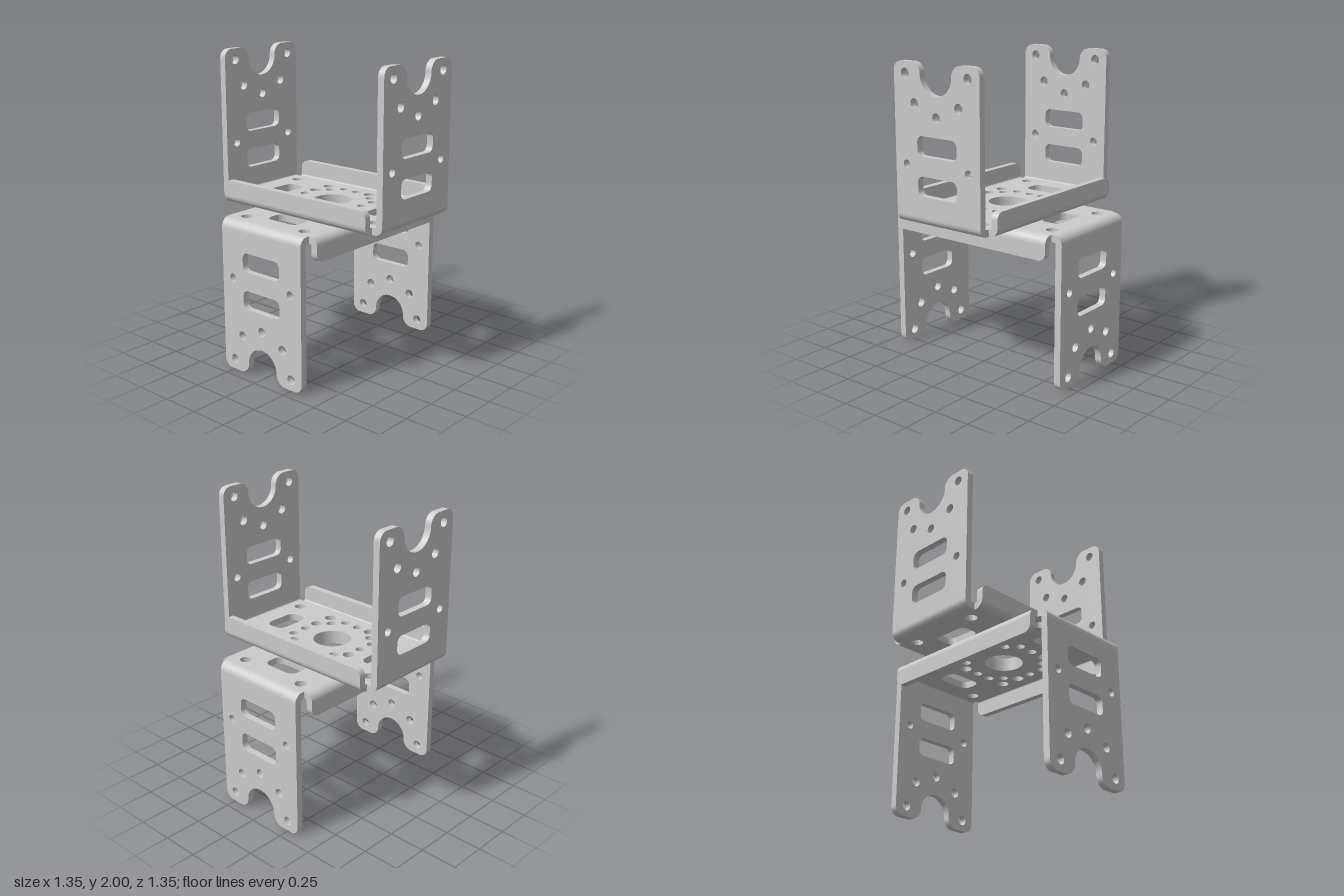
import * as THREE from 'three';
import { toCreasedNormals } from 'three/addons/utils/BufferGeometryUtils.js';

const T = 0.045;   // sheet thickness
const R = 0.055;   // outer bend radius
const H = 1;       // bracket height
const END = 0.675; // distance of the tall wall's outer face
const WALL_W = 0.335;
const SIDE = 0.4;  // distance of the side lip's outer face
const LIP_W = 0.6;
const SIGNS = [-1, 1];

const material = new THREE.MeshStandardMaterial({ color: 0xcccccc });

function hole(shape, x, y, r) {
  shape.holes.push(new THREE.Path().absarc(x, y, r, 0, Math.PI * 2, true));
}

function slot(shape, cx, cy, w, h, r) {
  const p = new THREE.Path();
  const x = w / 2 - r, y = h / 2 - r;
  p.absarc(cx + x, cy + y, r, 0, Math.PI / 2);
  p.absarc(cx - x, cy + y, r, Math.PI / 2, Math.PI);
  p.absarc(cx - x, cy - y, r, Math.PI, Math.PI * 1.5);
  p.absarc(cx + x, cy - y, r, Math.PI * 1.5, Math.PI * 2);
  p.closePath();
  shape.holes.push(p);
}

function extrude(shape, depth) {
  return new THREE.ExtrudeGeometry(shape, { depth, bevelEnabled: false, curveSegments: 16 });
}

function mesh(name, geometry) {
  const m = new THREE.Mesh(toCreasedNormals(geometry, 0.6), material);
  m.name = name;
  return m;
}

// Flat plate with its bolt pattern
function basePlate() {
  const a = SIDE - R, b = END - R;
  const s = new THREE.Shape([
    [-WALL_W, -b], [WALL_W, -b], [WALL_W, -LIP_W], [a, -LIP_W], [a, LIP_W], [WALL_W, LIP_W],
    [WALL_W, b], [-WALL_W, b], [-WALL_W, LIP_W], [-a, LIP_W], [-a, -LIP_W], [-WALL_W, -LIP_W],
  ].map(([x, y]) => new THREE.Vector2(x, y)));
  hole(s, 0, 0, 0.123);
  for (const i of SIGNS) {
    slot(s, 0, i * 0.425, 0.25, 0.14, 0.05);
    hole(s, 0, i * 0.246, 0.03);
    hole(s, i * 0.246, 0, 0.03);
    for (const j of SIGNS) {
      hole(s, i * 0.246, j * 0.54, 0.038);
      hole(s, i * 0.241, j * 0.243, 0.038);
      hole(s, i * 0.174, j * 0.174, 0.03);
      // alternate holes of the ring are wider
      hole(s, i * 0.108, j * 0.246, i === j ? 0.038 : 0.03);
      hole(s, i * 0.246, j * 0.108, i === j ? 0.03 : 0.038);
    }
  }
  return mesh('basePlate', extrude(s, T).rotateX(-Math.PI / 2));
}

// Tall wall with a rounded notch in its free edge
function wallShape() {
  const r = 0.06, n = 0.123, f = 0.072;
  const s = new THREE.Shape();
  s.moveTo(-WALL_W, R);
  s.lineTo(WALL_W, R);
  s.absarc(WALL_W - r, H - r, r, 0, Math.PI / 2);
  s.absarc(n + f, H - f, f, Math.PI / 2, Math.PI);
  s.absarc(0, H - f, n, 0, -Math.PI, true);
  s.absarc(-n - f, H - f, f, 0, Math.PI / 2);
  s.absarc(-WALL_W + r, H - r, r, Math.PI / 2, Math.PI);
  s.closePath();
  hole(s, 0, 0.68, 0.03);
  for (const i of SIGNS) {
    hole(s, i * 0.246, 0.928, 0.031);
    hole(s, i * 0.174, 0.752, 0.031);
    hole(s, i * 0.246, 0.375, 0.027);
  }
  slot(s, 0, 0.498, 0.312, 0.125, 0.04);
  slot(s, 0, 0.25, 0.312, 0.125, 0.04);
  return s;
}

// Low stiffening lip with rounded corners
function lipShape() {
  const r = 0.05, h = 0.155;
  const s = new THREE.Shape();
  s.moveTo(-LIP_W, R);
  s.lineTo(LIP_W, R);
  s.absarc(LIP_W - r, h - r, r, 0, Math.PI / 2);
  s.absarc(-LIP_W + r, h - r, r, Math.PI / 2, Math.PI);
  s.closePath();
  return s;
}

// Upright panel joined to the plate by a quarter-round bend, turned to its side
function flange(name, shape, distance, halfWidth, angle) {
  const g = new THREE.Group();
  g.name = name;
  g.add(mesh(name + 'Panel', extrude(shape, T).translate(0, 0, distance - T)));
  const arc = new THREE.Shape();
  arc.absarc(distance - R, R, R, -Math.PI / 2, 0);
  arc.absarc(distance - R, R, R - T, 0, -Math.PI / 2, true);
  arc.closePath();
  g.add(mesh(name + 'Bend', extrude(arc, halfWidth * 2).rotateY(-Math.PI / 2).translate(halfWidth, 0, 0)));
  g.rotation.y = angle;
  return g;
}

function bracket(name) {
  const g = new THREE.Group();
  g.name = name;
  g.add(basePlate());
  g.add(flange('frontWall', wallShape(), END, WALL_W, 0));
  g.add(flange('backWall', wallShape(), END, WALL_W, Math.PI));
  g.add(flange('leftLip', lipShape(), SIDE, LIP_W, Math.PI / 2));
  g.add(flange('rightLip', lipShape(), SIDE, LIP_W, -Math.PI / 2));
  g.position.y = H;
  return g;
}

export function createModel() {
  const model = new THREE.Group();
  model.name = 'crossedBrackets';
  const upper = bracket('upperBracket');
  // Same bracket, turned a quarter and upside down
  const lower = bracket('lowerBracket');
  lower.rotation.set(Math.PI, Math.PI / 2, 0);
  model.add(upper, lower);
  return model;
}
